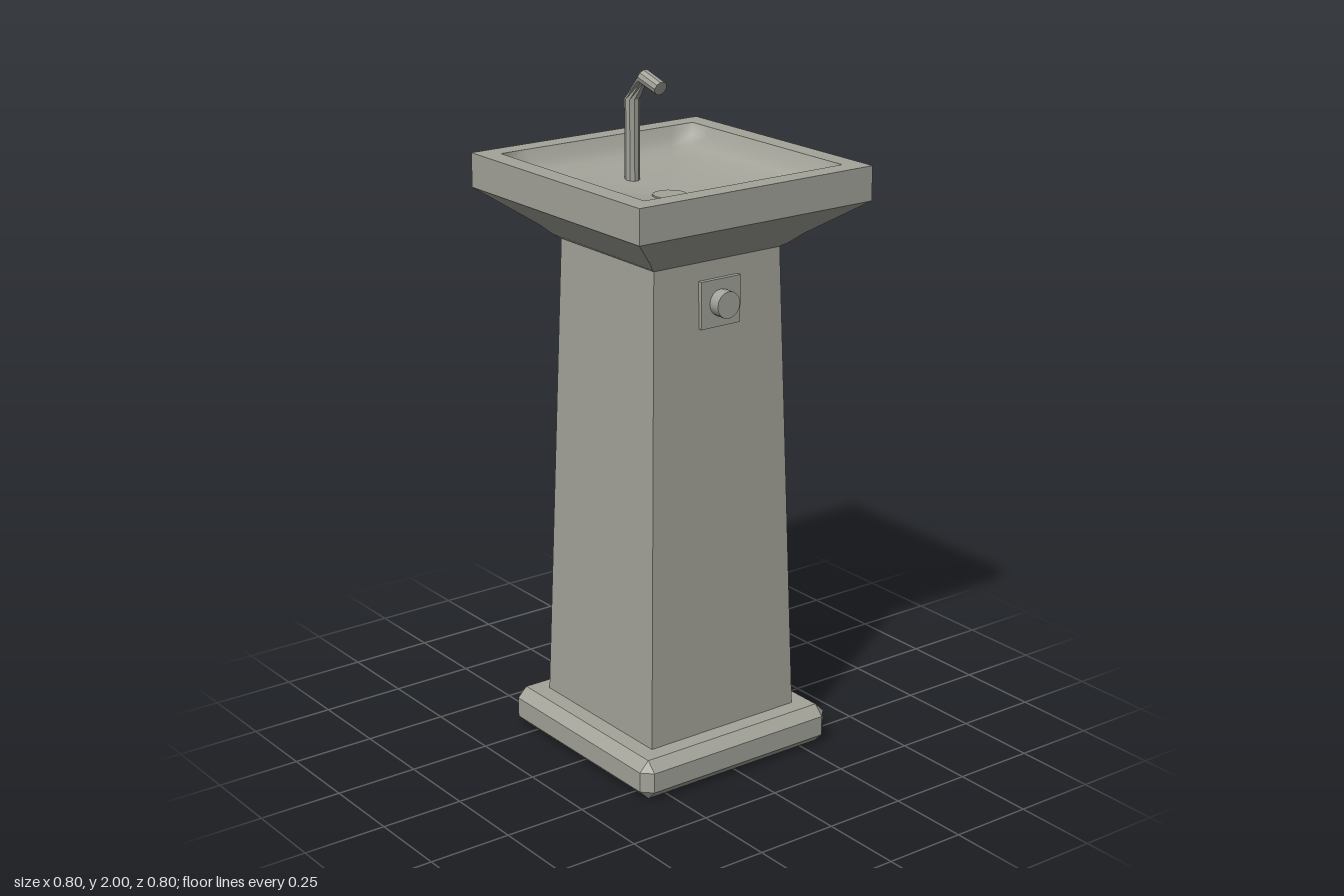
import * as THREE from 'three';
import { toCreasedNormals } from 'three/addons/utils/BufferGeometryUtils.js';

// Skin a list of equal-length closed rings of [x, y, z] points.
function loft(rings, crease) {
  const n = rings[0].length, index = [];
  for (let r = 0; r < rings.length - 1; r++) {
    for (let i = 0; i < n; i++) {
      const j = (i + 1) % n, a = r * n, b = a + n;
      index.push(a + i, a + j, b + j, a + i, b + j, b + i);
    }
  }
  const geo = new THREE.BufferGeometry();
  geo.setAttribute('position', new THREE.Float32BufferAttribute(rings.flat(2), 3));
  geo.setIndex(index);
  geo.computeVertexNormals();
  return crease ? toCreasedNormals(geo, crease) : geo;
}

// Square ring of half-width h at height y, with corners cut by c.
function squareRing([h, y, c = 0]) {
  const s = h - c;
  return [[h, -s], [h, s], [s, h], [-s, h], [-h, s], [-h, -s], [-s, -h], [s, -h]]
    .map(([x, d]) => [x, y, -d]);
}

// Ring that blends from a circle (q = 0) to a square (q = 1).
function softRing([h, y, q], n = 48) {
  return Array.from({ length: n }, (_, i) => {
    const a = (i / n) * Math.PI * 2, c = Math.cos(a), s = Math.sin(a);
    const k = h * (1 - q + q / Math.max(Math.abs(c), Math.abs(s)));
    return [c * k, y, -s * k];
  });
}

// Pipe ring centred at (0, y, z), tilted about x, with its facets twisted.
function pipeRing([y, z, r, tilt, twist], n = 10) {
  return Array.from({ length: n }, (_, i) => {
    const a = (i / n) * Math.PI * 2 + twist, s = Math.sin(a) * r;
    return [Math.cos(a) * r, y + s * Math.sin(tilt), z - s * Math.cos(tilt)];
  });
}

export function createModel() {
  const group = new THREE.Group();
  const stone = new THREE.MeshStandardMaterial({ name: 'greyStone', color: 0xa3a39a });
  const add = (name, geo, x = 0, y = 0, z = 0) => {
    const mesh = new THREE.Mesh(geo, stone);
    mesh.name = name;
    mesh.position.set(x, y, z);
    group.add(mesh);
    return mesh;
  };

  // Chamfered plinth with a recessed underside
  add('base', loft([
    [0, 0.05], [0.245, 0.05], [0.31, 0], [0.34, 0.03, 0.03],
    [0.34, 0.09, 0.03], [0.31, 0.12], [0, 0.12],
  ].map(squareRing), 0.6));

  // Tapered column
  add('column', loft([[0.26, 0.11], [0.22, 1.53]].map(squareRing), 0.6));

  // Flared underside, vertical edge and flat rim of the bowl
  add('bowlBody', loft([
    [0.22, 1.525], [0.238, 1.537], [0.265, 1.563], [0.4, 1.665],
    [0.4, 1.765], [0.34, 1.765],
  ].map(squareRing), 0.6));

  // Dished basin
  add('basin', loft([
    [0.34, 1.765, 1], [0.325, 1.733, 1], [0.305, 1.708, 0.98], [0.27, 1.692, 0.85],
    [0.18, 1.674, 0.4], [0.06, 1.661, 0], [0, 1.659, 0],
  ].map((p) => softRing(p))));

  add('drain', new THREE.CylinderGeometry(0.05, 0.05, 0.008, 12), 0, 1.661, 0);

  // Bent spout
  const bend = 1.92;
  add('spout', loft([
    [1.66, -0.178, 0.022, 0, 0], [1.907, -0.178, 0.022, 0, 0],
    [1.979, -0.122, 0.022, bend, 0.6], [1.957, -0.0425, 0.021, bend, 0.6],
    [1.957, -0.0425, 0, bend, 0.6],
  ].map((p) => pipeRing(p)), 0.3));

  // Push button on its mounting plate
  add('buttonPlate', new THREE.BoxGeometry(0.137, 0.137, 0.022), 0, 1.404, 0.224);
  const button = add('button', new THREE.CylinderGeometry(0.039, 0.039, 0.04, 16), 0, 1.404, 0.251);
  button.rotation.x = Math.PI / 2;

  return group;
}
